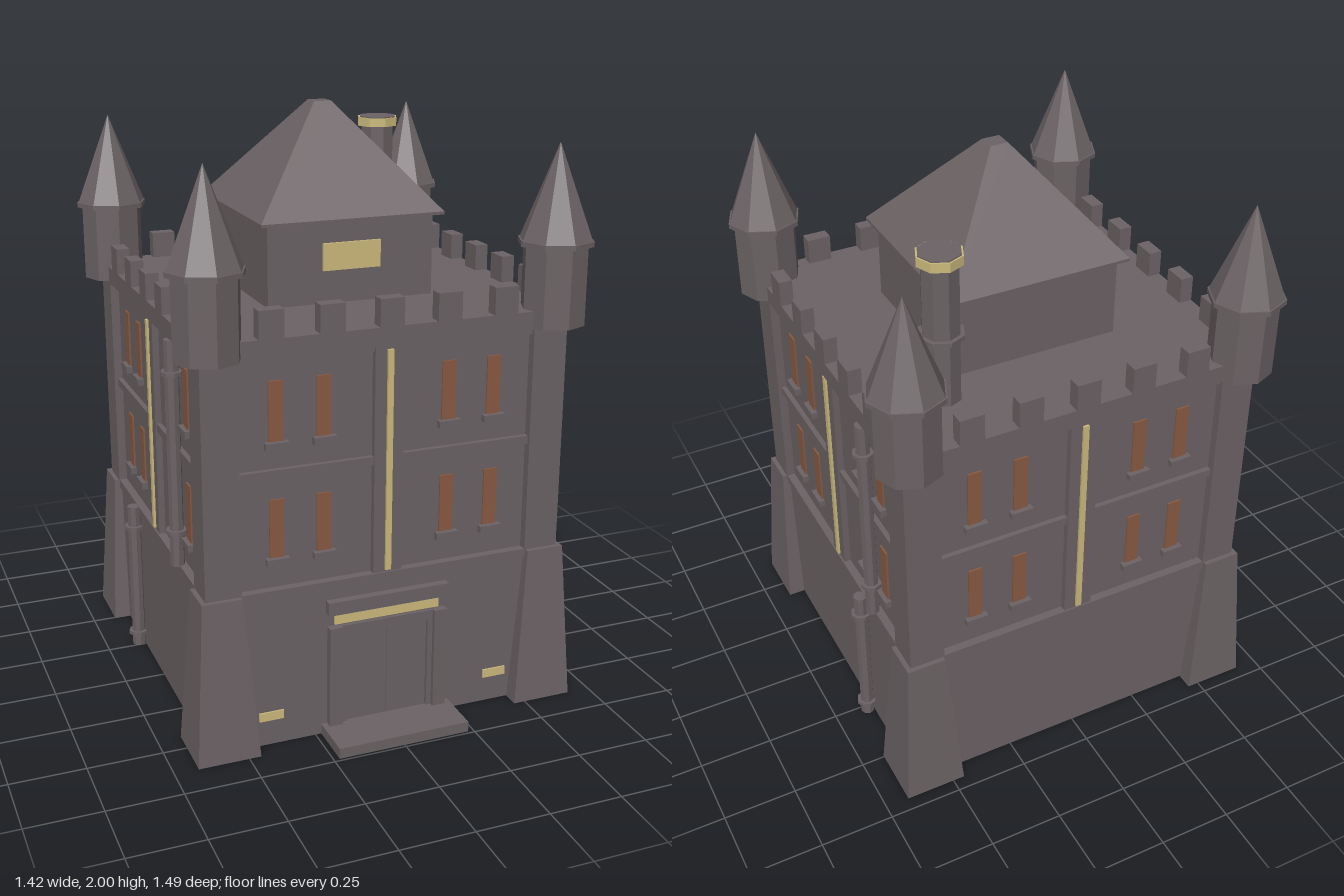
import * as THREE from 'three';

const mat = (name, color) => Object.assign(new THREE.MeshStandardMaterial({ color }), { name });

export function createModel() {
  const stone = mat('stone', 0x6b6264);
  const gold = mat('gold', 0xcbb97c);
  const copper = mat('copper window', 0x885a42);

  const root = new THREE.Group();
  root.name = 'castleHouse';
  const house = new THREE.Group();
  house.name = 'house';
  house.position.z = -0.035;
  root.add(house);

  const add = (parent, name, geo, m, x = 0, y = 0, z = 0) => {
    const mesh = new THREE.Mesh(geo, m);
    mesh.name = name;
    mesh.position.set(x, y, z);
    parent.add(mesh);
    return mesh;
  };
  // box given by its limits on each axis
  const box = (parent, name, m, x0, x1, y0, y1, z0, z1) =>
    add(parent, name, new THREE.BoxGeometry(x1 - x0, y1 - y0, z1 - z0), m,
      (x0 + x1) / 2, (y0 + y1) / 2, (z0 + z1) / 2);
  // eight-sided drum or cone with flat sides
  const drum = (parent, name, m, rTop, rBottom, y0, y1, x, z) => {
    const g = new THREE.CylinderGeometry(rTop, rBottom, y1 - y0, 8).toNonIndexed();
    g.computeVertexNormals();
    return add(parent, name, g, m, x, (y0 + y1) / 2, z);
  };
  // square block tapering from one centre and half width to another
  const taper = (h, cx0, cz0, half0, cx1, cz1, half1) => {
    const g = new THREE.BoxGeometry(2, h, 2);
    const p = g.attributes.position;
    for (let i = 0; i < p.count; i++) {
      const top = p.getY(i) > 0;
      const half = top ? half1 : half0;
      p.setX(i, p.getX(i) * half + (top ? cx1 : cx0));
      p.setZ(i, p.getZ(i) * half + (top ? cz1 : cz0));
    }
    g.computeVertexNormals();
    return g;
  };

  // main masses
  box(house, 'basement', stone, -0.61, 0.61, 0, 0.55, -0.61, 0.61);
  box(house, 'upperWalls', stone, -0.59, 0.59, 0.55, 1.32, -0.59, 0.59);
  box(house, 'roofDeck', stone, -0.625, 0.625, 1.32, 1.38, -0.625, 0.625);

  // corners: buttress, pier and turret
  for (const sx of [-1, 1]) for (const sz of [-1, 1]) {
    add(house, 'buttress', taper(0.55, sx * 0.565, sz * 0.565, 0.105, sx * 0.57, sz * 0.57, 0.066), stone, 0, 0.275, 0);
    const pier = box(house, 'cornerPier', stone, -0.06, 0.06, 0.55, 1.325, -0.06, 0.06);
    pier.position.x = sx * 0.56;
    pier.position.z = sz * 0.56;
    const x = sx * 0.583, z = sz * 0.585;
    drum(house, 'turret', stone, 0.107, 0.107, 1.325, 1.59, x, z);
    drum(house, 'turretRim', stone, 0.125, 0.125, 1.585, 1.602, x, z);
    drum(house, 'turretSpire', stone, 0, 0.12, 1.602, 1.91, x, z);
  }

  // one decorated facade, repeated on all four sides
  for (let k = 0; k < 4; k++) {
    const side = new THREE.Group();
    side.name = 'facade';
    side.rotation.y = k * Math.PI / 2;
    house.add(side);
    box(side, 'pilaster', stone, -0.05, 0.05, 0.55, 1.32, 0.58, 0.612);
    box(side, 'goldStrip', gold, -0.01, 0.01, 0.56, 1.305, 0.612, 0.62);
    box(side, 'baseCourse', stone, -0.505, 0.505, 0.52, 0.552, 0.58, 0.618);
    for (const s of [-1, 1]) {
      const a = s < 0 ? -0.5 : 0.05, b = a + 0.45;
      box(side, 'floorBand', stone, a, b, 0.925, 0.953, 0.58, 0.607);
      box(side, 'topBand', stone, a, b, 1.3, 1.32, 0.58, 0.607);
      for (const c of [0.214, 0.373]) for (const y of [0.655, 1.043]) {
        const x = s * c;
        box(side, 'window', copper, x - 0.024, x + 0.024, y, y + 0.196, 0.588, 0.596);
        box(side, 'windowSill', stone, x - 0.038, x + 0.038, y - 0.024, y, 0.58, 0.612);
      }
    }
    for (let i = -2; i <= 2; i++) {
      const x = i * 0.197;
      box(side, 'merlon', stone, x - 0.041, x + 0.041, 1.38, 1.47, 0.58, 0.626);
    }
  }

  // entrance
  const entrance = new THREE.Group();
  entrance.name = 'entrance';
  house.add(entrance);
  box(entrance, 'step', stone, -0.23, 0.23, 0, 0.036, 0.6, 0.775);
  box(entrance, 'lintel', stone, -0.213, 0.213, 0.437, 0.483, 0.6, 0.637);
  box(entrance, 'goldTransom', gold, -0.185, 0.185, 0.395, 0.428, 0.61, 0.618);
  box(entrance, 'doorHead', stone, -0.165, 0.165, 0.355, 0.388, 0.6, 0.622);
  for (const s of [-1, 1]) {
    const c = s * 0.186, d = s * 0.072, v = s * 0.404;
    box(entrance, 'doorPost', stone, c - 0.023, c + 0.023, 0.03, 0.39, 0.6, 0.637);
    box(entrance, 'innerPost', stone, s * 0.154 - 0.009, s * 0.154 + 0.009, 0.03, 0.36, 0.6, 0.622);
    box(entrance, 'doorLeaf', stone, d - 0.071, d + 0.071, 0.036, 0.353, 0.606, 0.614);
    box(entrance, 'basementVent', gold, v - 0.042, v + 0.042, 0.09, 0.12, 0.609, 0.616);
  }

  // drain pipes: [x, z, bottom, top, collar heights]
  const pipes = [
    [0.632, -0.232, 0, 0.55, [0.05, 0.47]],
    [0.62, -0.315, 0.55, 1.32, [0.67, 1.21]],
    [-0.632, -0.232, 0, 0.55, [0.05, 0.47]],
    [-0.62, 0.31, 0.55, 1.32, [0.67, 1.21]],
  ];
  for (const [x, z, y0, y1, collars] of pipes) {
    drum(house, 'drainPipe', stone, 0.024, 0.024, y0, y1, x, z);
    for (const y of collars) drum(house, 'pipeCollar', stone, 0.036, 0.036, y - 0.007, y + 0.007, x, z);
  }

  // attic with pyramid roof
  box(house, 'attic', stone, -0.288, 0.288, 1.38, 1.655, -0.288, 0.288);
  box(house, 'atticWindow', gold, -0.1, 0.1, 1.49, 1.58, 0.288, 0.297);
  box(house, 'eaves', stone, -0.317, 0.317, 1.65, 1.66, -0.317, 0.317);
  add(house, 'pyramidRoof', taper(0.34, 0, 0, 0.317, 0, 0, 0.03), stone, 0, 1.83, 0);

  // chimney
  const cx = 0.37, cz = -0.37;
  drum(house, 'chimney', stone, 0.061, 0.061, 1.38, 1.86, cx, cz);
  drum(house, 'chimneyRing', stone, 0.075, 0.075, 1.602, 1.616, cx, cz);
  drum(house, 'chimneyBand', gold, 0.075, 0.075, 1.855, 1.886, cx, cz);
  drum(house, 'chimneyCap', stone, 0.069, 0.069, 1.88, 1.89, cx, cz);

  return root;
}
